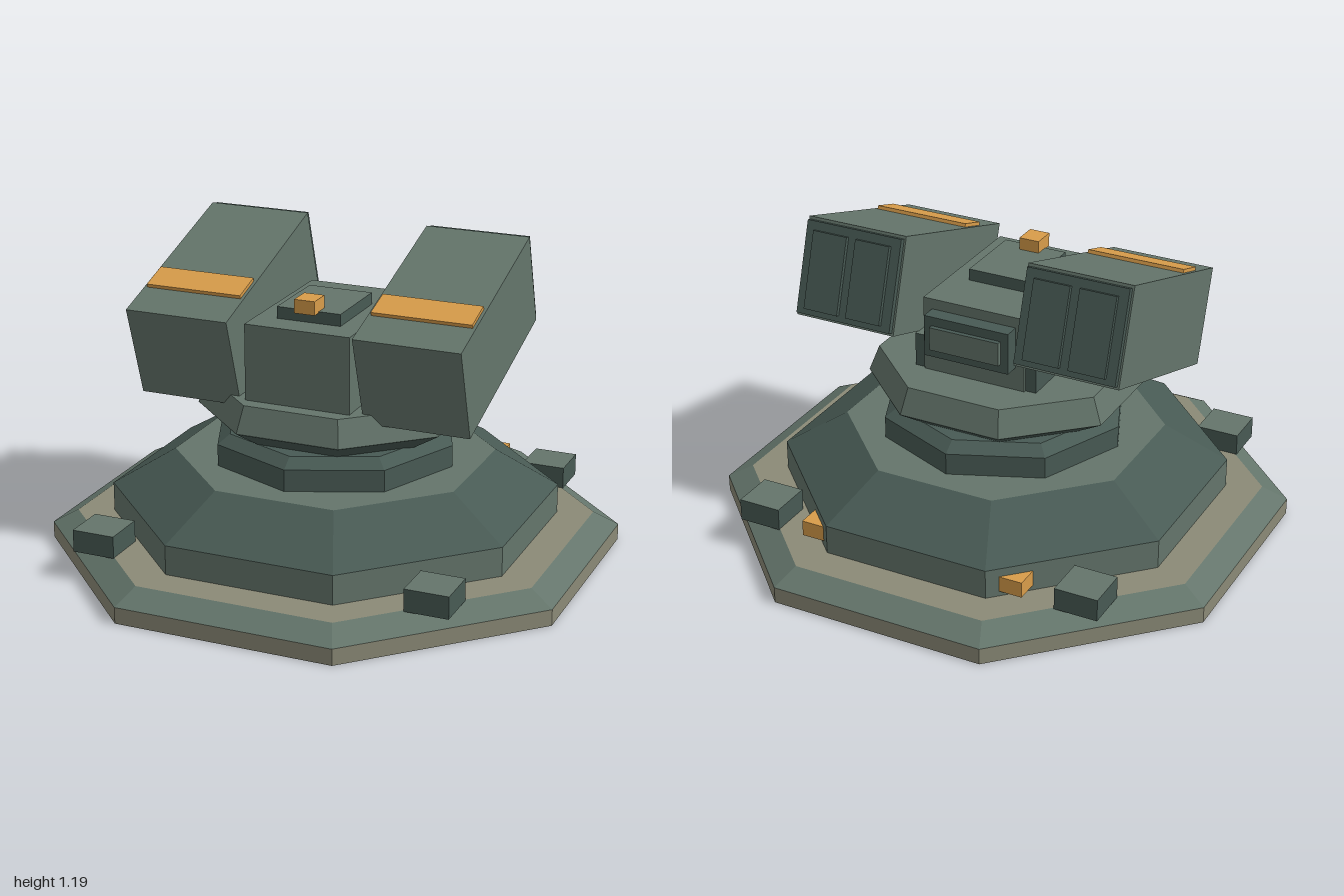
import * as THREE from 'three';

const mat = (name, color) => {
  const m = new THREE.MeshStandardMaterial({ color });
  m.name = name;
  return m;
};

export function createModel() {
  const green = mat('mainGreen', 0x64756b);
  const dark = mat('darkGreen', 0x485a54);
  const khaki = mat('khaki', 0x8b8a77);
  const orange = mat('orange', 0xd89c4a);
  const model = new THREE.Group();
  model.name = 'turret';

  // Eight-sided ring with faceted normals; a0 and a1 are the lower and upper radii to the flats
  const octagon = (name, y0, y1, a0, a1, side, top = side, bottom = side) => {
    const k = Math.cos(Math.PI / 8);
    let g = new THREE.CylinderGeometry(a1 / k, a0 / k, y1 - y0, 8, 1, false, Math.PI / 8);
    g = g.toNonIndexed();
    g.computeVertexNormals();
    const mesh = new THREE.Mesh(g, [side, top, bottom]);
    mesh.name = name;
    mesh.position.y = (y0 + y1) / 2;
    model.add(mesh);
    return mesh;
  };

  // Box from centre and size, with an optional different top colour
  const box = (parent, name, size, pos, side, top = side) => {
    const mats = top === side ? side : [side, side, top, side, side, side];
    const mesh = new THREE.Mesh(new THREE.BoxGeometry(...size), mats);
    mesh.name = name;
    mesh.position.set(...pos);
    parent.add(mesh);
    return mesh;
  };

  // Ground slab and stepped base
  octagon('baseSlab', 0, 0.062, 1, 1, khaki);
  octagon('baseChamfer', 0.062, 0.113, 1, 0.91, green, khaki, khaki);
  octagon('skirt', 0.113, 0.225, 0.782, 0.782, green);
  octagon('skirtSlope', 0.225, 0.367, 0.782, 0.56, dark, green);

  // Neck, turned so its corners lie on the axes
  const k = Math.cos(Math.PI / 8);
  octagon('neck', 0.367, 0.45, 0.47 * k, 0.47 * k, dark).rotation.y = Math.PI / 8;
  octagon('neckChamfer', 0.45, 0.485, 0.47 * k, 0.42 * k, dark).rotation.y = Math.PI / 8;

  // Turntable, slightly shorter front to back
  octagon('turntableUnderside', 0.45, 0.55, 0.33, 0.482, dark).scale.z = 0.93;
  octagon('turntable', 0.55, 0.65, 0.482, 0.445, green).scale.z = 0.925;

  // Corner feet
  for (const x of [-1, 1]) for (const z of [-1, 1]) {
    box(model, 'cornerFoot', [0.166, 0.085, 0.166], [x * 0.647, 0.153, z * 0.645], dark, green);
  }

  // Rear marker lights on the base
  for (const x of [-1, 1]) {
    box(model, 'baseLight', [0.09, 0.06, 0.09], [x * 0.403, 0.163, -0.702], orange);
  }

  // Central body, trunnion, roof cap and sensor
  box(model, 'body', [0.41, 0.29, 0.605], [0, 0.795, 0.0525], green);
  box(model, 'trunnion', [0.495, 0.14, 0.47], [0, 0.71, -0.005], dark, green);
  box(model, 'roofCap', [0.25, 0.045, 0.295], [0, 0.9625, 0.1], dark, green);
  box(model, 'sensor', [0.08, 0.052, 0.09], [0, 1.006, 0.238], orange);

  // Rear equipment panel
  box(model, 'rearPanel', [0.34, 0.16, 0.06], [0, 0.82, -0.28], dark);
  box(model, 'rearScreen', [0.28, 0.09, 0.02], [0, 0.82, -0.318], green, dark);

  // Launcher pods, raised towards the rear
  for (const s of [-1, 1]) {
    const pod = new THREE.Group();
    pod.name = s > 0 ? 'leftPod' : 'rightPod';
    pod.position.set(s * 0.445, 0.9, 0.008);
    pod.rotation.x = 0.31;
    box(pod, 'podShell', [0.404, 0.367, 0.757], [0, 0, 0], green);
    box(pod, 'podStripe', [0.38, 0.018, 0.12], [0, 0.188, 0.165], orange);
    box(pod, 'muzzleFrame', [0.39, 0.345, 0.024], [0, 0, -0.388], dark);
    for (const d of [-1, 1]) {
      box(pod, 'muzzleDoor', [0.14, 0.29, 0.018], [d * 0.088, -0.005, -0.407], dark);
    }
    model.add(pod);
  }
  return model;
}
